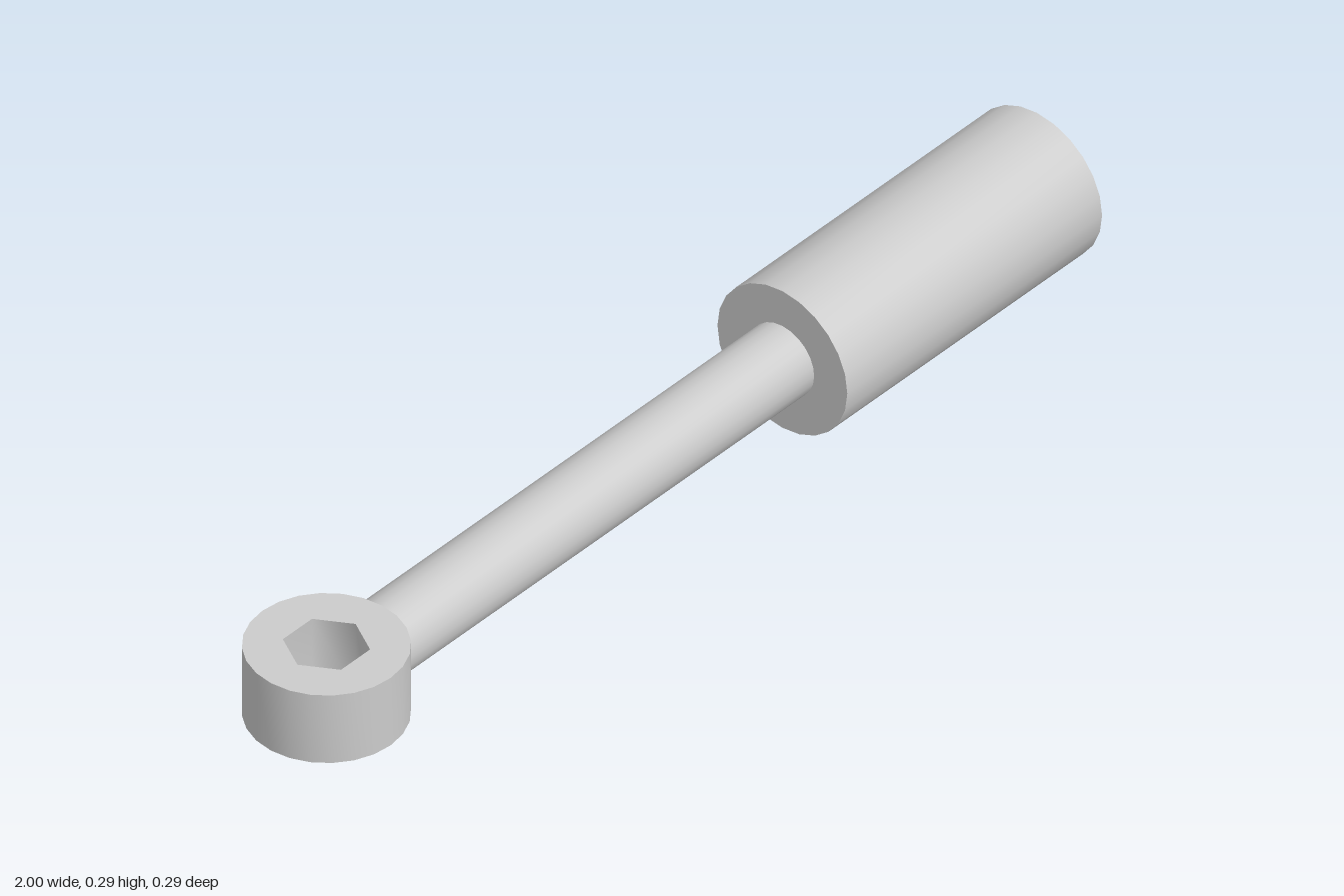
import * as THREE from 'three';
import { toCreasedNormals } from 'three/addons/utils/BufferGeometryUtils.js';

const SIDES = 24;
const AXIS_Y = 0.15; // height of the shared long axis

export function createModel() {
  const group = new THREE.Group();
  const material = new THREE.MeshStandardMaterial({ color: 0xcccccc });

  const add = (name, geometry, x, y) => {
    const mesh = new THREE.Mesh(toCreasedNormals(geometry, 1.1), material);
    mesh.name = name;
    mesh.position.set(x, y, 0);
    group.add(mesh);
  };

  // Turned profile, given as [radius, x], spun around the long axis
  const turned = (profile) =>
    new THREE.LatheGeometry(profile.map(([r, x]) => new THREE.Vector2(r, x)), SIDES).rotateZ(-Math.PI / 2);

  const polygon = (radius, sides) =>
    Array.from({ length: sides }, (_, i) => {
      const a = (i / sides) * Math.PI * 2;
      return new THREE.Vector2(Math.cos(a) * radius, Math.sin(a) * radius);
    });

  // Hollow socket, open at the +x end with a closed floor
  add('socket', turned([
    [0, 0.335], [0.147, 0.335], [0.147, 1], [0.117, 1], [0.117, 0.4], [0, 0.4],
  ]), 0, AXIS_Y);

  // Rod between the eye and the socket, its ends buried in both
  add('rod', turned([[0, -0.745], [0.072, -0.745], [0.072, 0.34], [0, 0.34]]), 0, AXIS_Y);

  // Upright ring with a six-sided hole
  const ring = new THREE.Shape(polygon(0.145, SIDES));
  ring.holes.push(new THREE.Path(polygon(0.076, 6)));
  const eye = new THREE.ExtrudeGeometry(ring, { depth: 0.145, bevelEnabled: false });
  add('eye', eye.rotateX(-Math.PI / 2), -0.855, 0.078);

  return group;
}
